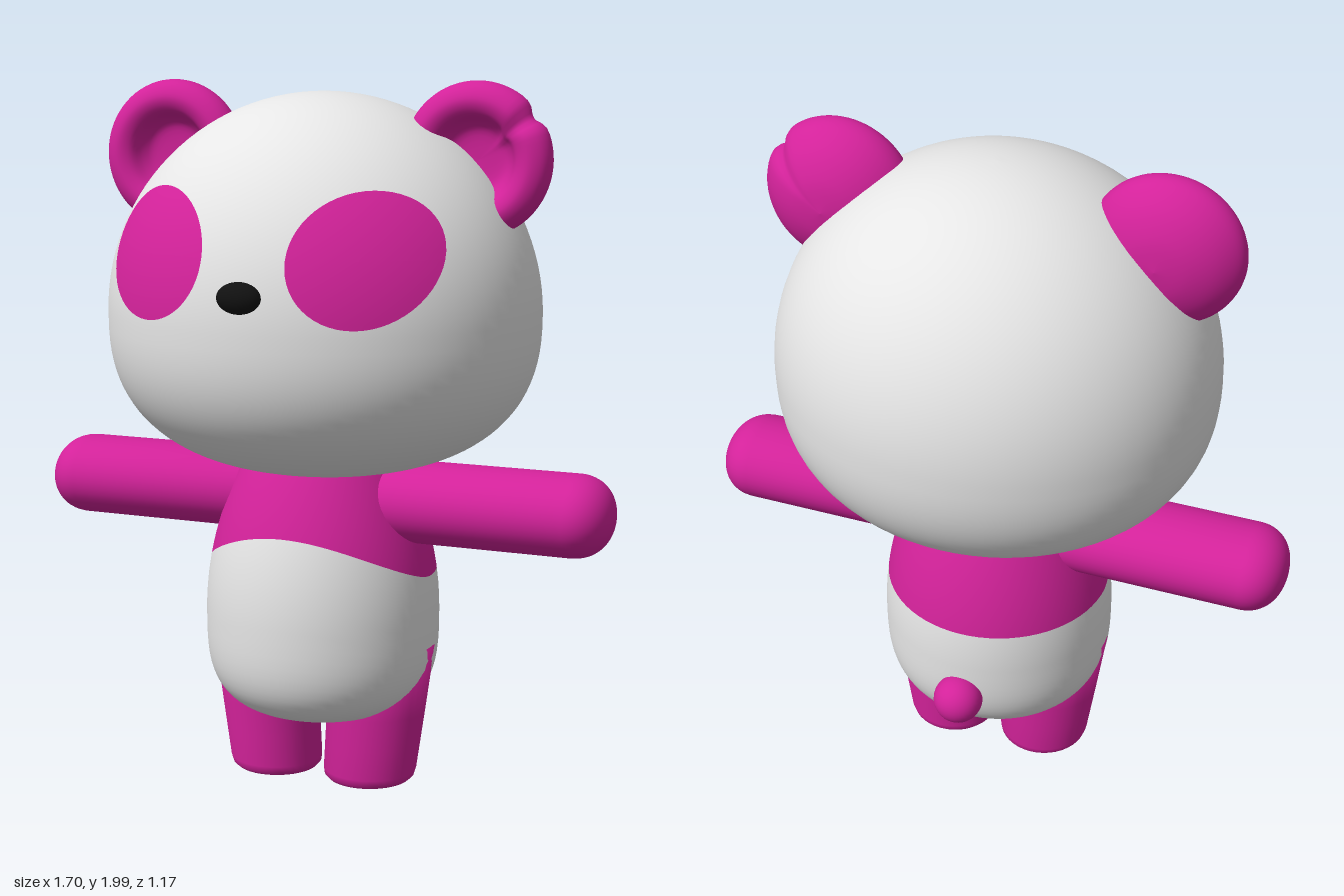
import * as THREE from 'three';
import { ParametricGeometry } from 'three/addons/geometries/ParametricGeometry.js';

const mat = (name, color) => {
  const m = new THREE.MeshStandardMaterial({ color });
  m.name = name;
  return m;
};

// Quarter superellipse profile from the pole (r = 0) to the widest ring, below or above y0
function quarter(R, D, y0, n, up, steps = 20) {
  const pts = [];
  for (let i = 0; i <= steps; i++) {
    const a = (i / steps) * Math.PI / 2;
    const r = R * Math.pow(Math.sin(a), 2 / n);
    const h = D * Math.pow(Math.max(Math.cos(a), 0), 2 / n);
    pts.push(new THREE.Vector2(i === 0 ? 0 : r, y0 + (up ? h : -h)));
  }
  return up ? pts.reverse() : pts;
}

// Head dimensions, shared by the skull and the eye patches
const HEAD = { rx: 0.615, rz: 0.57, y: 1.36, top: 0.61, bottom: 0.45, z: -0.012 };
function headZ(x, y) {
  const h = (y - HEAD.y) / HEAD.top;
  return HEAD.z + HEAD.rz * Math.sqrt(Math.max(0, 1 - h * h - (x / HEAD.rx) ** 2));
}

// Torso radius at each height, and the wavy line between belly and chest
function torsoRadius(y) {
  if (y < 0.5) return 0.335 * Math.pow(Math.max(0, 1 - Math.pow((0.5 - y) / 0.3, 3.3)), 1 / 3.3);
  return 0.335 - 0.1 * ((y - 0.5) / 0.42) ** 2;
}
const chestLine = (a) => 0.625 + 0.14 * Math.pow(Math.max(0, Math.cos(a)), 1.5);

function torsoBand(heightAt) {
  return new ParametricGeometry((u, v, target) => {
    const a = (u * 2 - 1) * Math.PI;
    const y = heightAt(a, v);
    const r = torsoRadius(y);
    target.set(r * Math.sin(a), y, r * Math.cos(a) - 0.004);
  }, 72, 28);
}

// Cupped ear: domed back, thick rolled rim, sunken middle; optional nick in the rim
function earGeometry(nicked) {
  const profile = new THREE.SplineCurve([
    [0, -0.115], [0.08, -0.105], [0.15, -0.075], [0.198, -0.03], [0.21, 0.01], [0.195, 0.045],
    [0.16, 0.063], [0.125, 0.05], [0.1, 0.015], [0.07, -0.005], [0, -0.01],
  ].map(([r, y]) => new THREE.Vector2(r, y))).getPoints(44);
  profile.forEach((p) => { p.x = Math.max(0, p.x); });
  const g = new THREE.LatheGeometry(profile, 72);
  g.rotateX(Math.PI / 2);
  if (nicked) {
    const p = g.attributes.position;
    for (let i = 0; i < p.count; i++) {
      const x = p.getX(i), y = p.getY(i), z = p.getZ(i);
      const dip = Math.exp(-(((Math.atan2(y, x) - 0.64) / 0.13) ** 2));
      const k = 1 - 0.1 * dip;
      p.setXYZ(i, x * k, y * k, z < 0 ? z * 1.15 : z * (1 - 0.25 * dip));
    }
    g.computeVertexNormals();
  }
  return g;
}

export function createModel() {
  const model = new THREE.Group();
  const white = mat('soft white', 0xe6e6e6);
  const pink = mat('magenta', 0xd3229a);
  const black = mat('black', 0x111111);
  const add = (name, geometry, material, x = 0, y = 0, z = 0) => {
    const m = new THREE.Mesh(geometry, material);
    m.name = name;
    m.position.set(x, y, z);
    model.add(m);
    return m;
  };

  // Head: domed above, fuller and flattened below
  const headProfile = [
    ...quarter(HEAD.rx, HEAD.bottom, HEAD.y, 2.5, false, 28),
    ...quarter(HEAD.rx, HEAD.top, HEAD.y, 2, true, 28).slice(1),
  ];
  add('head', new THREE.LatheGeometry(headProfile, 72), white, 0, 0, HEAD.z)
    .scale.z = HEAD.rz / HEAD.rx;

  // Nose
  add('nose', new THREE.SphereGeometry(1, 32, 20), black, 0, 1.455, 0.548).scale.set(0.062, 0.042, 0.038);

  // Torso: white belly and coloured chest
  add('belly', torsoBand((a, v) => {
    const s = 0.005 + 0.995 * v;
    return 0.2 + (chestLine(a) - 0.2) * s ** 3;
  }), white);
  add('chest', torsoBand((a, v) => THREE.MathUtils.lerp(chestLine(a), 0.96, v)), pink);

  // Tail
  add('tail', new THREE.SphereGeometry(0.071, 32, 20), pink, 0, 0.393, -0.35);

  // Limb profiles
  const armProfile = [
    new THREE.Vector2(0, 0.1), new THREE.Vector2(0.115, 0.1),
    ...quarter(0.115, 0.11, 0.742, 2.2, true),
  ];
  const legProfile = [
    [0, 0.008], [0.105, 0.008], [0.12, 0.012], [0.13, 0.022], [0.134, 0.04],
    [0.138, 0.13], [0.142, 0.22], [0.15, 0.42], [0, 0.43],
  ].map(([r, y]) => new THREE.Vector2(r, y));

  for (const side of [-1, 1]) {
    const label = side > 0 ? 'left' : 'right';

    // Ear
    add(label + 'Ear', earGeometry(side > 0), pink, side * 0.452, 1.79, 0);

    // Eye patch lying on the face
    const patch = new ParametricGeometry((u, v, target) => {
      const a = -u * Math.PI * 2;
      const x = side * 0.294 + 0.177 * v * Math.cos(a);
      const y = 1.552 + 0.173 * v * Math.sin(a);
      target.set(x * 1.006, y, headZ(x, y) + 0.005);
    }, 56, 14);
    patch.computeVertexNormals();
    add(label + 'EyePatch', patch, pink);

    // Arm held straight out
    const arm = new THREE.LatheGeometry(armProfile, 40);
    arm.scale(1, 1, 1.22);
    arm.rotateZ(-side * Math.PI / 2);
    add(label + 'Arm', arm, pink, 0, 0.836, -0.005);

    // Leg leaning outward toward the hip
    const leg = new THREE.LatheGeometry(legProfile, 40);
    const p = leg.attributes.position;
    for (let i = 0; i < p.count; i++) {
      p.setX(i, p.getX(i) + side * (0.144 + 0.1 * p.getY(i)));
    }
    add(label + 'Leg', leg, pink, 0, 0, -0.003);
  }

  return model;
}
